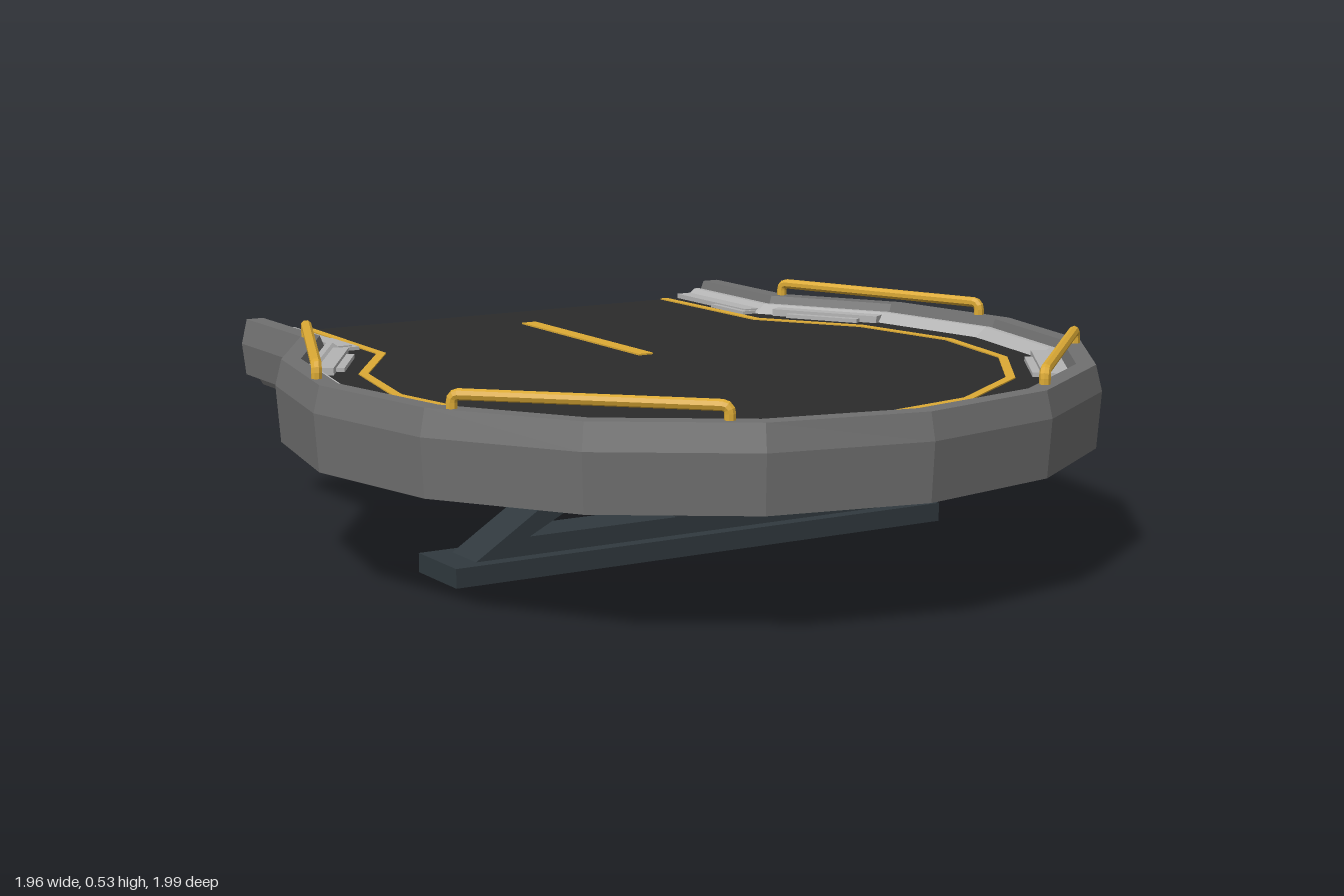
import * as THREE from 'three';

const mat = (color) => new THREE.MeshStandardMaterial({ color, flatShading: true });
const grey = mat(0x707070), light = mat(0xb4b4b4), black = mat(0x2b2b2b);
const yellow = mat(0xdcaa35), steel = mat(0x30393e);
const DECK = 0.44;

function add(parent, name, geometry, material, x = 0, y = 0, z = 0) {
  const mesh = new THREE.Mesh(geometry, material);
  mesh.name = name;
  mesh.position.set(x, y, z);
  parent.add(mesh);
  return mesh;
}

// Complete a half path (back to front, +x side) with its mirror image.
const mirrorPath = (half) => [...half, ...half.slice(0, -1).reverse().map(([x, z]) => [-x, z])];

// Shift an open [x, z] path inward with mitred corners.
function inset(path, d) {
  const normal = (a, b) => {
    const l = Math.hypot(b[0] - a[0], b[1] - a[1]);
    return [-(b[1] - a[1]) / l, (b[0] - a[0]) / l];
  };
  return path.map((p, i) => {
    const n1 = i > 0 ? normal(path[i - 1], p) : normal(p, path[1]);
    const n2 = i < path.length - 1 ? normal(p, path[i + 1]) : n1;
    const k = d / (1 + n1[0] * n2[0] + n1[1] * n2[1]);
    return [p[0] + (n1[0] + n2[0]) * k, p[1] + (n1[1] + n2[1]) * k];
  });
}

// Sweep a closed convex profile of [inset, y] along a path, with end caps.
function sweep(path, profileAt) {
  const rings = path.map((_, i) => profileAt(i).map(([d, y]) => {
    const [x, z] = inset(path, d)[i];
    return [x, y, z];
  }));
  const n = rings[0].length, last = rings[rings.length - 1], pos = [];
  for (let i = 0; i < rings.length - 1; i++) {
    for (let j = 0; j < n; j++) {
      const k = (j + 1) % n;
      const a = rings[i][j], b = rings[i][k], c = rings[i + 1][k], d = rings[i + 1][j];
      pos.push(...a, ...b, ...c, ...a, ...c, ...d);
    }
  }
  for (let j = 1; j < n - 1; j++) {
    pos.push(...rings[0][0], ...rings[0][j + 1], ...rings[0][j]);
    pos.push(...last[0], ...last[j], ...last[j + 1]);
  }
  const g = new THREE.BufferGeometry();
  g.setAttribute('position', new THREE.Float32BufferAttribute(pos, 3));
  g.computeVertexNormals();
  return g;
}

// Horizontal slab from an [x, z] outline.
function slab(outline, top, bottom) {
  const shape = new THREE.Shape(outline.map(([x, z]) => new THREE.Vector2(x, z)));
  return new THREE.ExtrudeGeometry(shape, { depth: top - bottom, bevelEnabled: false })
    .rotateX(Math.PI / 2).translate(0, top, 0);
}

// Upright plate from [x, y] outlines, centred on z = 0.
function plate(outline, depth, holes = []) {
  const toPoints = (pts) => pts.map(([x, y]) => new THREE.Vector2(x, y));
  const shape = new THREE.Shape(toPoints(outline));
  shape.holes = holes.map((h) => new THREE.Path(toPoints(h)));
  return new THREE.ExtrudeGeometry(shape, { depth, bevelEnabled: false }).translate(0, 0, -depth / 2);
}

export function createModel() {
  const model = new THREE.Group();
  model.name = 'landingPlatform';

  // Keyhole outline: sixteen-sided disc with a straight approach at the back
  const half = [[0.725, -1], [0.725, -0.67]];
  for (let i = -1; i <= 4; i++) {
    const a = i * Math.PI / 8;
    half.push([0.98 * Math.cos(a), 0.99 * Math.sin(a)]);
  }
  half[half.length - 1][0] = 0;
  const outline = mirrorPath(half);
  const n = outline.length;

  // Curb, shallower along the approach
  add(model, 'curb', sweep(outline, (i) => {
    const low = i < 2 || i > n - 3 ? 0.34 : 0.285;
    return [[0.01, low], [0, 0.42], [0.015, 0.482], [0.06, 0.482], [0.08, 0.43], [0.08, low]];
  }), grey);
  add(model, 'innerCurb', sweep(outline, () =>
    [[0.075, 0.41], [0.075, 0.463], [0.09, 0.463], [0.12, DECK], [0.12, 0.41]]), light);

  // Deck and the disc below it
  add(model, 'deck', slab(inset(outline, 0.075), DECK, 0.415), black);
  add(model, 'deckSupport', slab(inset(outline, 0.07), 0.415, 0.35), grey);
  const drum = new THREE.CylinderGeometry(0.965, 0.965, 0.115, 16);
  add(model, 'underside', drum, grey, 0, 0.343, 0);

  // Thick panels inside the curb
  const panels = [[1, 0.30], [4, 0.34], [6, 0.36]];
  for (const side of [1, -1]) {
    for (const [edge, length] of panels) {
      const [x1, z1] = half[edge], [x2, z2] = half[edge + 1];
      const panel = new THREE.Group();
      panel.name = 'curbPanel';
      panel.position.set(side * (x1 + x2) / 2, DECK, (z1 + z2) / 2);
      panel.rotation.y = side * Math.atan2(x2 - x1, z2 - z1);
      const block = (l, inner, h) => add(panel, 'panelBlock',
        new THREE.BoxGeometry(inner - 0.08, h + 0.02, l), light, -side * (inner + 0.08) / 2, h / 2 - 0.01, 0);
      block(length, 0.135, 0.018);
      block(length * 0.68, 0.155, 0.01);
      model.add(panel);
    }
    add(model, 'approachCurbStep', new THREE.BoxGeometry(0.07, 0.03, 0.35), light, side * 0.615, DECK - 0.003, -0.825);
    add(model, 'approachCurbPad', new THREE.BoxGeometry(0.04, 0.025, 0.16), light, side * 0.585, DECK - 0.004, -0.72);

    // Brackets under the approach
    for (const x of [0.36, 0.62]) {
      add(model, 'bracket', plate([[-0.085, 0.06], [-0.05, 0], [0.05, 0], [0.085, 0.06]], 0.15),
        grey, side * x, 0.31, -0.925);
    }

    // Handrails on the curb
    for (const [a, b] of [[[0.70, -0.655], [0.932, -0.085]], [[0.845, 0.41], [0.415, 0.835]]]) {
      const at = (t, y) => new THREE.Vector3(
        side * (a[0] + (b[0] - a[0]) * t), y, a[1] + (b[1] - a[1]) * t);
      const path = new THREE.CurvePath();
      const p = [at(0, 0.47), at(0, 0.495), at(0.03, 0.513), at(0.97, 0.513), at(1, 0.495), at(1, 0.47)];
      path.add(new THREE.LineCurve3(p[0], p[1]));
      path.add(new THREE.QuadraticBezierCurve3(p[1], at(0, 0.513), p[2]));
      path.add(new THREE.LineCurve3(p[2], p[3]));
      path.add(new THREE.QuadraticBezierCurve3(p[3], at(1, 0.513), p[4]));
      path.add(new THREE.LineCurve3(p[4], p[5]));
      add(model, 'handrail', new THREE.TubeGeometry(path, 80, 0.013, 8), yellow);
    }
  }

  // Painted markings
  const line = mirrorPath([[0.535, -1], [0.548, -0.55], [0.715, -0.3], [0.773, 0],
    [0.717, 0.295], [0.55, 0.54], [0.298, 0.71], [0, 0.768]]);
  add(model, 'edgeLine', sweep(line, () =>
    [[-0.011, DECK - 0.005], [-0.011, DECK + 0.003], [0.011, DECK + 0.003], [0.011, DECK - 0.005]]), yellow);
  add(model, 'centreLine', new THREE.BoxGeometry(0.04, 0.008, 0.6), yellow, 0, DECK, -0.5);

  // Truss stand
  add(model, 'foot', new THREE.BoxGeometry(1.36, 0.046, 0.19), steel, 0, 0.023, 0);
  const triangle = (s) => [[s * 0.07, 0.09], [s * 0.47, 0.09], [s * 0.265, 0.193]];
  add(model, 'truss', plate([[-0.62, 0.04], [0.62, 0.04], [0.27, 0.262], [-0.27, 0.262]], 0.12,
    [triangle(1), triangle(-1), [[-0.2, 0.218], [0.2, 0.218], [0, 0.125]]]), steel);
  add(model, 'topPlate', plate([[-0.43, 0.26], [0.43, 0.26], [0.6, 0.288], [-0.6, 0.288]], 0.24), steel);

  return model;
}
